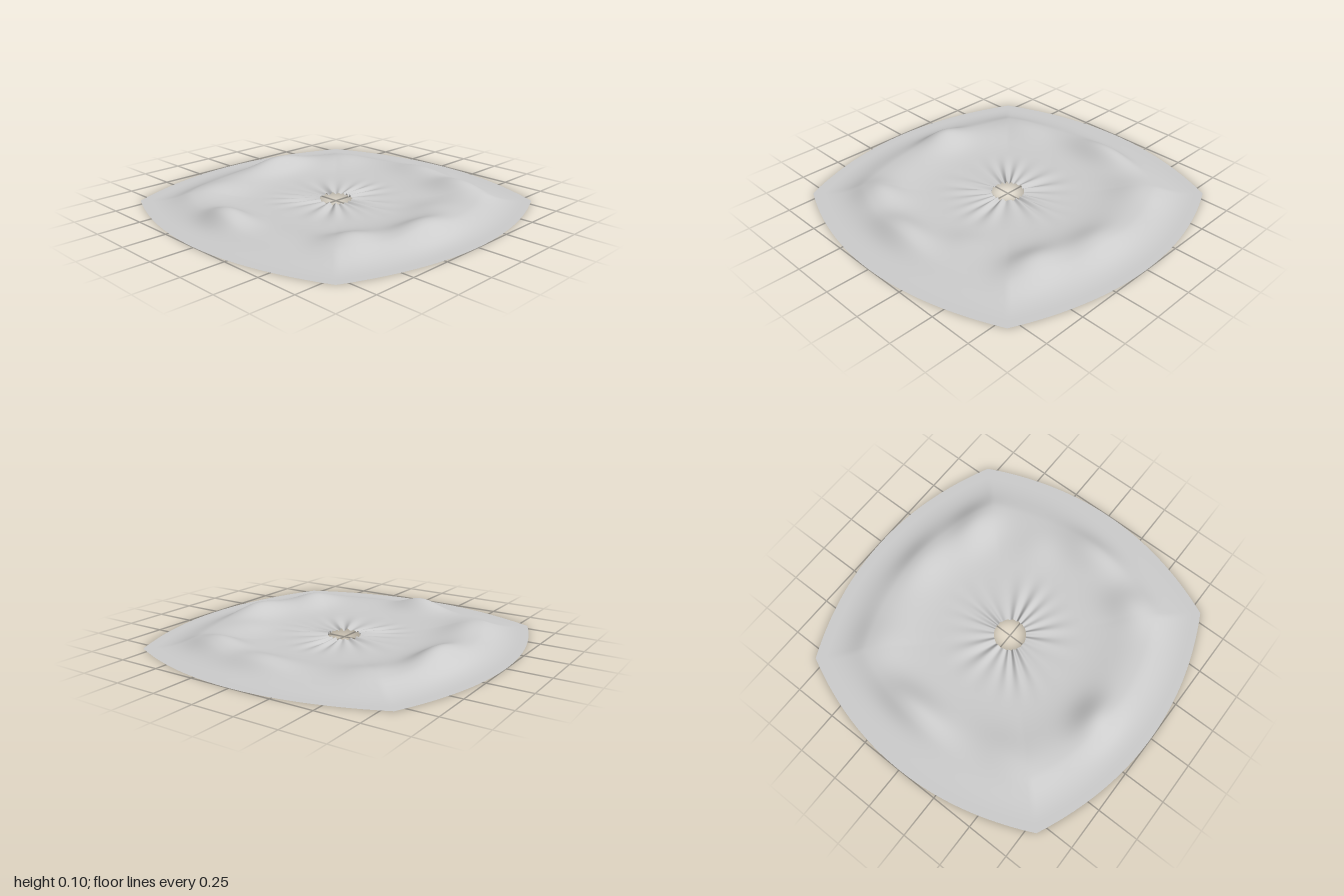
import * as THREE from 'three';

const HOLE = 0.095;
const SEGMENTS = 320;
const RINGS = 90;

// Soft swells in the cloth: x, z, width in x, width in z, height
const SWELLS = [
  [-0.70, -0.12, 0.11, 0.15, 0.058],
  [0.15, -0.68, 0.22, 0.10, 0.060],
  [-0.47, 0.56, 0.15, 0.12, 0.042],
  [-0.08, 0.71, 0.20, 0.11, 0.046],
  [0.60, 0.42, 0.11, 0.17, 0.046],
  [0.70, 0.05, 0.11, 0.18, 0.032],
  [-0.45, -0.58, 0.20, 0.13, 0.022],
  [0.55, -0.50, 0.16, 0.14, 0.020],
  [0.22, 0.52, 0.13, 0.12, 0.014],
];

// Distance from the centre to the bowed square outline
function outline(angle) {
  const a = Math.abs(Math.cos(angle)), b = Math.abs(Math.sin(angle));
  const c = Math.max(a, b), s = Math.min(a, b);
  return 2 / (c + Math.sqrt(c * c + 1.2 * s * s));
}

// Cloth height: a padded ring, swells, and gathers fanning out from the hole
function height(x, z, angle, r, u) {
  let y = 0.014 + 0.026 * Math.exp(-(((u - 0.68) / 0.17) ** 2));
  for (const [cx, cz, wx, wz, h] of SWELLS) {
    y += h * Math.exp(-(((x - cx) / wx) ** 2) - ((z - cz) / wz) ** 2);
  }
  const gather = 1 - THREE.MathUtils.smoothstep(r, 0.12, 0.46);
  const wave = Math.cos(18 * angle + 1.5 * Math.sin(3 * angle + 0.7));
  const strength = 0.65 + 0.35 * Math.sin(5 * angle + 1.3);
  y += 0.009 * gather * strength * wave;
  return Math.max(0, y) * (1 - THREE.MathUtils.smoothstep(u, 0.74, 0.95));
}

function clothGeometry() {
  const positions = [], indices = [];
  for (let i = 0; i <= RINGS; i++) {
    const t = (i / RINGS) ** 1.2;
    for (let j = 0; j < SEGMENTS; j++) {
      const angle = (j / SEGMENTS) * Math.PI * 2;
      const edge = outline(angle);
      const r = HOLE + (edge - HOLE) * t;
      const x = r * Math.cos(angle), z = r * Math.sin(angle);
      positions.push(x, height(x, z, angle, r, r / edge), z);
    }
  }
  for (let i = 0; i < RINGS; i++) {
    for (let j = 0; j < SEGMENTS; j++) {
      const k = (j + 1) % SEGMENTS;
      const a = i * SEGMENTS + j, b = i * SEGMENTS + k;
      const c = a + SEGMENTS, d = b + SEGMENTS;
      indices.push(a, b, c, b, d, c);
    }
  }
  const geometry = new THREE.BufferGeometry();
  geometry.setAttribute('position', new THREE.Float32BufferAttribute(positions, 3));
  geometry.setIndex(indices);
  geometry.computeVertexNormals();
  return geometry;
}

export function createModel() {
  const group = new THREE.Group();
  group.name = 'gatheredCloth';
  const fabric = new THREE.MeshStandardMaterial({ color: 0xcccccc, side: THREE.DoubleSide });
  fabric.name = 'light grey fabric';
  const cloth = new THREE.Mesh(clothGeometry(), fabric);
  cloth.name = 'clothSheet';
  group.add(cloth);
  return group;
}
